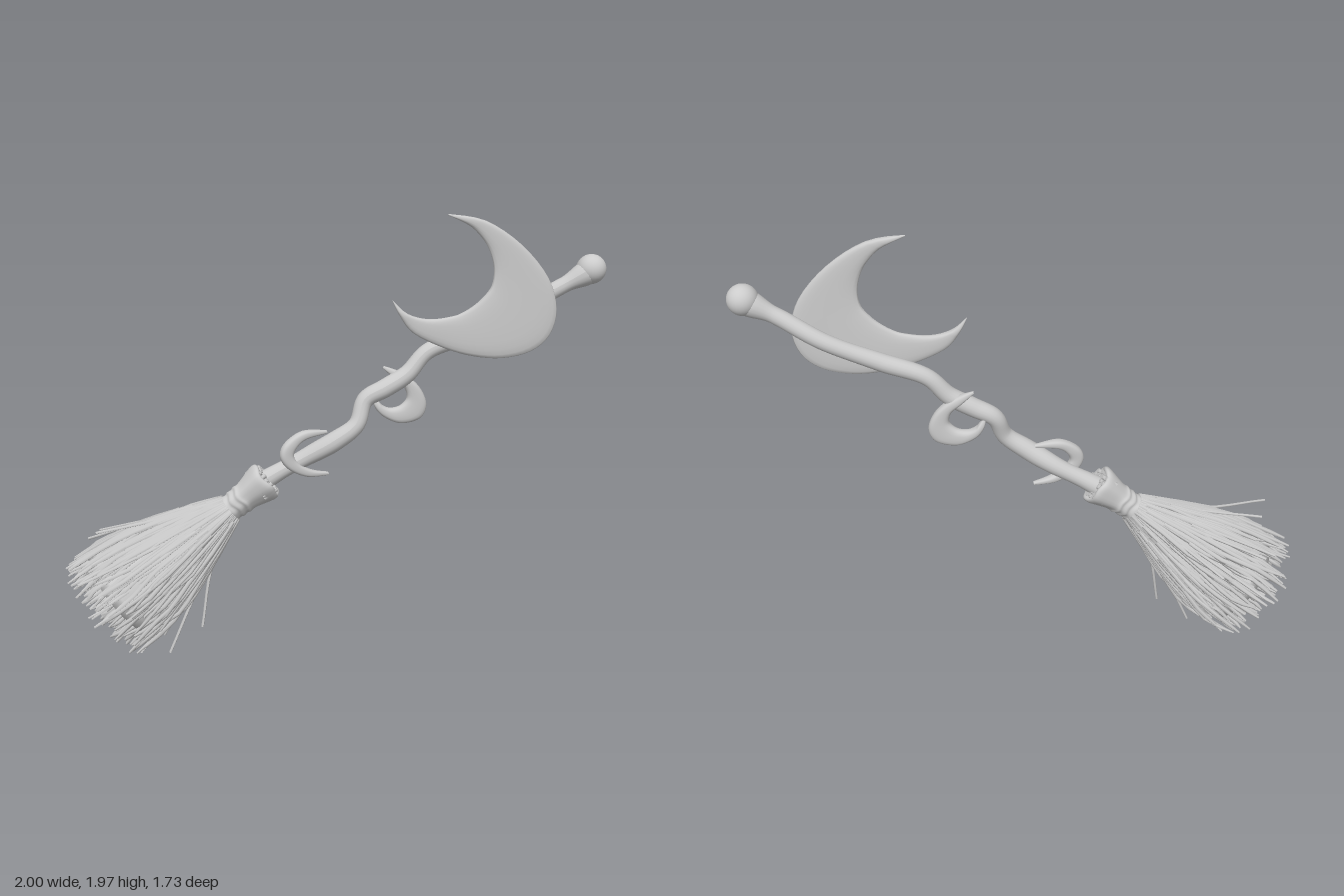
import * as THREE from 'three';
import { mergeGeometries } from 'three/addons/utils/BufferGeometryUtils.js';

const V = (x, y, z) => new THREE.Vector3(x, y, z);
const grey = new THREE.MeshStandardMaterial({ color: 0xcccccc });
const greyDouble = new THREE.MeshStandardMaterial({ color: 0xcccccc, side: THREE.DoubleSide });

let seed = 7;
const rand = () => (seed = (seed * 16807) % 2147483647) / 2147483647;
const jitter = (a) => (rand() - 0.5) * 2 * a;

function mesh(name, geometry, material = grey) {
  const m = new THREE.Mesh(geometry, material);
  m.name = name;
  return m;
}

// Tube along a curve whose radius follows radiusAt(t)
function taperedTube(points, segments, sides, radiusAt) {
  const curve = new THREE.CatmullRomCurve3(points);
  const geo = new THREE.TubeGeometry(curve, segments, 1, sides);
  const pos = geo.attributes.position, p = V();
  for (let i = 0; i < pos.count; i++) {
    const t = Math.floor(i / (sides + 1)) / segments;
    const c = curve.getPointAt(t);
    p.fromBufferAttribute(pos, i).sub(c).multiplyScalar(radiusAt(t)).add(c);
    pos.setXYZ(i, p.x, p.y, p.z);
  }
  geo.computeVertexNormals();
  return geo;
}

// Crescent lofted between an outer and an inner edge, given as x,y pairs,
// lying in an upright plane through (x0, z0) with z changing by slope * x
function crescent(outer, inner, x0, z0, slope, thick) {
  const edge = (pts) => new THREE.SplineCurve(pts.map(([x, y]) => new THREE.Vector2(x, y)));
  const a = edge(outer), b = edge(inner);
  const n = 48, m = 20, pos = [], index = [];
  const normal = V(-slope, 0, 1).normalize();
  const bulge = (v) => Math.sign(v) * Math.abs(v) ** 0.75;
  for (let i = 0; i <= n; i++) {
    const o = a.getPoint(i / n), q = b.getPoint(i / n);
    const mid = o.clone().add(q).multiplyScalar(0.5);
    const half = o.clone().sub(q).multiplyScalar(0.5);
    const depth = Math.min(thick, half.length() * 1.2);
    for (let j = 0; j < m; j++) {
      const ang = (j / m) * Math.PI * 2;
      const c = bulge(Math.cos(ang)), s = bulge(Math.sin(ang)) * depth;
      const x = mid.x + half.x * c, y = mid.y + half.y * c;
      pos.push(x + normal.x * s, y, z0 + slope * (x - x0) + normal.z * s);
      if (i < n) {
        const k = i * m + j, k1 = i * m + ((j + 1) % m);
        index.push(k, k1, k + m, k1, k1 + m, k + m);
      }
    }
  }
  const geo = new THREE.BufferGeometry();
  geo.setAttribute('position', new THREE.Float32BufferAttribute(pos, 3));
  geo.setIndex(index);
  geo.computeVertexNormals();
  return geo;
}

// Radius of the bristle bundle at a distance y from the collar's open end
const START = 0.2, END = 0.94;
const bundleRadius = (y) => 0.056 + 0.194 * Math.sin(((y - START) / (END - START)) * Math.PI / 2);

// Broom head, built along local +y from the open end of the collar
function createHead() {
  const head = new THREE.Group();
  head.name = 'broomHead';
  head.position.set(-0.208, 0.817, 0.09);
  const axis = V(-0.585, -0.577, 0.452).normalize();
  head.quaternion.setFromUnitVectors(V(0, 1, 0), axis);
  head.updateMatrixWorld();

  // Flared collar with a hollow end and bound waist
  const collarProfile = [[0.03, 0.03], [0.055, 0.012], [0.072, -0.002], [0.086, 0], [0.09, 0.02],
    [0.08, 0.06], [0.069, 0.1], [0.065, 0.125], [0.068, 0.14], [0.062, 0.155], [0.065, 0.175],
    [0.059, 0.19], [0.064, 0.21], [0.06, 0.23], [0.045, 0.24]];
  const collar = new THREE.LatheGeometry(
    new THREE.SplineCurve(collarProfile.map(([r, y]) => new THREE.Vector2(r, y))).getPoints(40), 32);
  const cp = collar.attributes.position;
  for (let i = 0; i < cp.count; i++) {
    const ang = Math.atan2(cp.getZ(i), cp.getX(i));
    const k = 1 + 0.03 * Math.sin(3 * ang + 1) + 0.02 * Math.sin(7 * ang);
    cp.setXYZ(i, cp.getX(i) * k, cp.getY(i) + 0.006 * Math.sin(4 * ang), cp.getZ(i) * k);
  }
  collar.computeVertexNormals();
  head.add(mesh('collar', collar, greyDouble));

  // Cut stubs filling the open end of the collar
  const stubs = [];
  for (let i = 0; i < 40; i++) {
    const ang = i * 2.4, r = 0.03 + 0.046 * rand();
    const g = new THREE.CylinderGeometry(0.011, 0.011, 0.06, 7);
    g.translate(r * Math.cos(ang), 0.024 + jitter(0.01), r * Math.sin(ang));
    stubs.push(g);
  }
  head.add(mesh('collarStubs', mergeGeometries(stubs)));

  // Solid core under the bristles
  const core = [];
  for (let i = 0; i <= 14; i++) {
    const y = START + (0.84 - START) * (i / 14);
    core.push(new THREE.Vector2(bundleRadius(y) * 0.92, y));
  }
  core.push(new THREE.Vector2(0.12, 0.87), new THREE.Vector2(0, 0.875));
  head.add(mesh('bristleCore', new THREE.LatheGeometry(core, 32), greyDouble));

  // Outer bristles leave the core at varied heights; inner ones only show at the end
  const bristles = [];
  const addBristle = (rho, ang, from, to, wobble) => {
    const pts = [];
    for (let k = 0; k <= 4; k++) {
      const y = from + (to - from) * (k / 4);
      const r = bundleRadius(y) * rho + jitter(wobble) * (k / 4);
      const w = ang + jitter(wobble * 4) * (k / 4);
      pts.push(V(r * Math.cos(w), y, r * Math.sin(w)));
    }
    const thick = 0.0075 + 0.004 * rand();
    bristles.push(taperedTube(pts, 8, 6, (t) => thick * (t === 1 ? 0.5 : 1)));
  };
  for (let i = 0; i < 210; i++) {
    const from = START + 0.01 + (i % 3) * 0.13 * rand();
    addBristle(0.9 + 0.14 * rand(), i * 2.39996, from, 0.74 + 0.22 * rand(), 0.022);
  }
  for (let i = 0; i < 140; i++) {
    addBristle(0.92 * Math.sqrt((i + 0.5) / 140), i * 2.39996, 0.74, 0.88 + 0.08 * rand(), 0.012);
  }

  // Stray bristles leaving the bundle
  const strays = [[-0.66, 0.49, 0.86], [-1, 0.43, 0.28], [-0.82, 0.5, 0.21], [-0.79, 0.61, 0.58],
    [-0.55, 0.01, 0.39], [-0.43, 0.13, 0.3], [-0.93, 0.52, 0.47], [-0.92, 0.54, 0.4]];
  for (const s of strays) {
    const tip = head.worldToLocal(V(...s));
    const side = V(tip.x, 0, tip.z).normalize();
    const y = START + (tip.y - START) * 0.5;
    const mid = side.clone().multiplyScalar(bundleRadius(y) * 1.02).setY(y);
    const root = side.clone().multiplyScalar(0.056).setY(START + 0.01);
    bristles.push(taperedTube([root, mid, tip], 10, 6, (t) => 0.009 - 0.003 * t));
  }
  head.add(mesh('bristles', mergeGeometries(bristles), greyDouble));
  return head;
}

export function createModel() {
  const model = new THREE.Group();
  model.name = 'broom';

  // Gnarled handle and its end knob
  const path = [[-0.33, 0.72, 0.17], [-0.19, 0.83, 0.065], [-0.07, 0.91, -0.02], [0.05, 0.99, -0.085],
    [0.122, 1.06, -0.14], [0.14, 1.165, -0.185], [0.21, 1.215, -0.24], [0.285, 1.275, -0.305],
    [0.35, 1.37, -0.365], [0.5, 1.445, -0.485], [0.67, 1.545, -0.63], [0.82, 1.645, -0.72],
    [0.92, 1.71, -0.79]].map((p) => V(...p));
  const handleRadius = (t) => 0.043 + 0.005 * Math.sin(t * 30) * (1 - t) - 0.008 * t
    + 0.02 * THREE.MathUtils.smoothstep(t, 0.94, 1);
  model.add(mesh('handle', taperedTube(path, 120, 18, handleRadius)));
  const knob = mesh('knob', new THREE.SphereGeometry(0.066, 28, 20));
  knob.position.set(0.932, 1.724, -0.802);
  model.add(knob);

  // Large crescent moon beside the upper handle
  model.add(mesh('largeMoon', crescent(
    [[0.44, 1.98], [0.57, 1.95], [0.7, 1.845], [0.8, 1.7], [0.836, 1.56], [0.815, 1.445], [0.75, 1.375],
      [0.65, 1.348], [0.545, 1.36], [0.44, 1.4], [0.33, 1.47], [0.28, 1.55], [0.255, 1.615]],
    [[0.44, 1.975], [0.52, 1.925], [0.57, 1.86], [0.595, 1.8], [0.606, 1.735], [0.6, 1.67], [0.575, 1.625],
      [0.545, 1.59], [0.505, 1.558], [0.465, 1.54], [0.385, 1.53], [0.31, 1.555], [0.257, 1.615]],
    0.26, -0.21, -0.77, 0.018)));

  // Two small crescents hooked around the handle
  model.add(mesh('middleMoon', crescent(
    [[0.19, 1.31], [0.26, 1.275], [0.32, 1.21], [0.347, 1.13], [0.325, 1.065], [0.255, 1.045],
      [0.19, 1.08], [0.158, 1.13], [0.15, 1.18]],
    [[0.187, 1.3], [0.23, 1.25], [0.265, 1.21], [0.275, 1.16], [0.25, 1.125], [0.215, 1.117],
      [0.187, 1.132], [0.172, 1.155], [0.155, 1.18]],
    0.25, -0.305, -0.77, 0.025)));
  model.add(mesh('lowerMoon', crescent(
    [[0.005, 0.82], [-0.06, 0.825], [-0.115, 0.87], [-0.137, 0.93], [-0.122, 0.99], [-0.07, 1.037], [0, 1.03]],
    [[0.005, 0.835], [-0.04, 0.852], [-0.08, 0.887], [-0.098, 0.928], [-0.088, 0.968], [-0.06, 1.0], [0, 1.015]],
    -0.06, -0.01, -1.25, 0.025)));

  model.add(createHead());
  return model;
}
